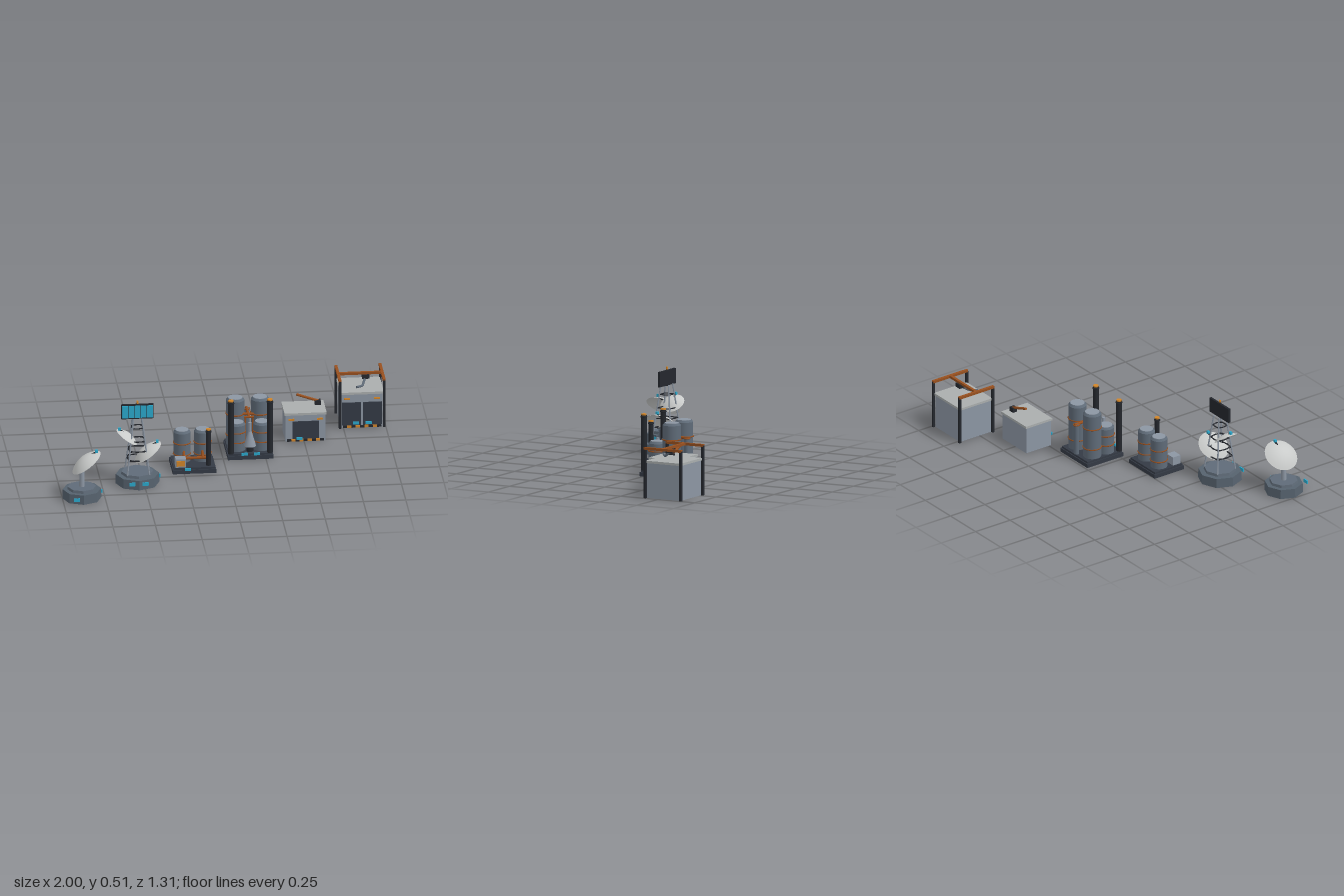
import * as THREE from 'three';

const mat = (name, color, extra = {}) => {
  const m = new THREE.MeshStandardMaterial({ color, ...extra });
  m.name = name;
  return m;
};
const C = {
  slate: mat('slate', 0x56626e),
  tank: mat('tankSteel', 0x5f6b78),
  steel: mat('wallSteel', 0x8c96a3),
  roof: mat('roofGrey', 0xaaaeae),
  dish: mat('dishWhite', 0xc9cbca, { side: THREE.DoubleSide }),
  dark: mat('darkMetal', 0x24272d),
  navy: mat('plinthNavy', 0x343a45),
  rust: mat('rustOrange', 0x98501f),
  amber: mat('amber', 0xd0852a),
  cyan: mat('cyanLight', 0x2ba8cc),
};

const add = (g, name, geo, m, x = 0, y = 0, z = 0) => {
  const mesh = new THREE.Mesh(geo, m);
  mesh.name = name;
  mesh.position.set(x, y, z);
  g.add(mesh);
  return mesh;
};
// Box given by its centre in x and z and its bottom in y
const box = (g, name, m, x, y, z, w, h, d) =>
  add(g, name, new THREE.BoxGeometry(w, h, d), m, x, y + h / 2, z);
// Upright cylinder standing on y
const cyl = (g, name, m, x, y, z, r, h, rTop = r, n = 20) =>
  add(g, name, new THREE.CylinderGeometry(rTop, r, h, n), m, x, y + h / 2, z);
// Round bar between two points
const bar = (g, name, m, a, b, r, n = 8) => {
  const p = new THREE.Vector3(...a), q = new THREE.Vector3(...b);
  const d = q.clone().sub(p);
  const mesh = add(g, name, new THREE.CylinderGeometry(r, r, d.length(), n), m);
  mesh.position.copy(p).add(q).multiplyScalar(0.5);
  mesh.quaternion.setFromUnitVectors(new THREE.Vector3(0, 1, 0), d.normalize());
  return mesh;
};
const ring = (g, name, m, x, y, z, r, t) => {
  const mesh = add(g, name, new THREE.TorusGeometry(r, t, 6, 24), m, x, y, z);
  mesh.rotation.x = Math.PI / 2;
  return mesh;
};
const group = (parent, name, x = 0, z = 0) => {
  const g = new THREE.Group();
  g.name = name;
  g.position.set(x, 0, z);
  parent.add(g);
  return g;
};

// Two-tier octagonal plinth
function octagonBase(g, r) {
  const tier = (name, m, y, r0, r1, h) => {
    const geo = new THREE.CylinderGeometry(r1, r0, h, 8).toNonIndexed();
    geo.computeVertexNormals();
    add(g, name, geo, m, 0, y + h / 2, 0);
  };
  tier('plinth', C.slate, 0, r, r * 0.98, 0.057);
  tier('plinthStep', C.tank, 0.057, r * 0.74, r * 0.72, 0.016);
  box(g, 'sideLight', C.cyan, r + 0.003, 0.028, 0, 0.008, 0.02, 0.012);
}

// Shallow tilted bowl with a feed arm; s = 1 leans to +x, -1 mirrors it
function dish(g, x, y, R, s) {
  const d = group(g, 'dish', x);
  d.position.y = y;
  const pts = [];
  for (let i = 0; i <= 8; i++) {
    const t = i / 8;
    pts.push(new THREE.Vector2(Math.max(R * t, 1e-4), 0.38 * R * (1 - t * t)));
  }
  add(d, 'bowl', new THREE.LatheGeometry(pts, 32), C.dish).rotation.z = s * 0.63;
  bar(d, 'feedArm', C.dark, [s * 0.1 * R, 0.38 * R, 0], [s * 0.55 * R, 0.63 * R, 0], 0.005);
  box(d, 'feedTip', C.cyan, s * 0.58 * R, 0.61 * R, 0, 0.016, 0.016, 0.014);
}

function smallDishStation(root) {
  const g = group(root, 'dishStation', -0.885, 0.522);
  octagonBase(g, 0.115);
  cyl(g, 'mast', C.steel, 0, 0.073, 0, 0.016, 0.14, 0.013, 12);
  dish(g, 0.027, 0.22, 0.102, 1);
  box(g, 'frontLight', C.cyan, -0.042, 0.028, 0.13, 0.036, 0.02, 0.007);
}

function relayTower(root) {
  const g = group(root, 'relayTower', -0.537, 0.313);
  octagonBase(g, 0.13);
  for (const sx of [-1, 1]) for (const sz of [-1, 1])
    bar(g, 'towerLeg', C.steel, [sx * 0.065, 0.07, sz * 0.065], [sx * 0.025, 0.41, sz * 0.025], 0.005, 6);
  // Square braces and rings up the mast
  [0.155, 0.21, 0.27, 0.35].forEach((y) => {
    const h = 0.065 - 0.04 * (y - 0.07) / 0.34;
    for (const s of [-1, 1]) {
      bar(g, 'brace', C.dark, [-h, y, s * h], [h, y, s * h], 0.003, 6);
      bar(g, 'brace', C.dark, [s * h, y, -h], [s * h, y, h], 0.003, 6);
    }
    ring(g, 'braceRing', C.dark, 0, y, 0, h * 1.1, 0.003);
  });
  dish(g, -0.063, 0.287, 0.074, -1);
  dish(g, 0.062, 0.188, 0.095, 1);
  // Display panel, lit on the front only
  box(g, 'panelFrame', C.dark, 0, 0.403, 0, 0.19, 0.09, 0.014);
  for (let i = -2; i <= 2; i++)
    box(g, 'panelCell', C.cyan, i * 0.0365, 0.41, 0.008, 0.034, 0.076, 0.005);
  cyl(g, 'finial', C.dark, 0, 0.4, 0, 0.006, 0.1, 0.006, 8);
  cyl(g, 'finialTip', C.amber, 0, 0.495, 0, 0.006, 0.018, 0.006, 8);
  for (const x of [-0.042, 0.036])
    box(g, 'frontLight', C.cyan, x, 0.028, 0.128, 0.036, 0.02, 0.007);
}

// Storage tank with shoulder, lid and bands
function tank(g, x, z, r, top, bands) {
  cyl(g, 'tankBody', C.tank, x, 0.035, z, r, top - 0.047);
  cyl(g, 'tankShoulder', C.tank, x, top - 0.012, z, r, 0.012, r * 0.82);
  cyl(g, 'tankLid', C.steel, x, top - 0.001, z, r * 0.78, 0.003);
  for (const y of bands) ring(g, 'tankBand', C.rust, x, y, z, r, 0.004);
}

function chimney(g, x, z, r, top) {
  cyl(g, 'chimney', C.dark, x, 0.035, z, r, top - 0.043, r, 12);
  cyl(g, 'chimneyTip', C.amber, x, top - 0.01, z, r * 0.95, 0.01, r * 0.95, 12);
  ring(g, 'chimneyBand', C.dark, x, top - 0.018, z, r, 0.004);
}

function smallRefinery(root) {
  const g = group(root, 'smallRefinery', -0.19, 0.106);
  box(g, 'plinth', C.navy, 0, 0, 0, 0.256, 0.024, 0.212);
  box(g, 'plinthTop', C.navy, 0, 0.024, 0, 0.244, 0.012, 0.2);
  for (const s of [-1, 1]) tank(g, s * 0.061, -0.027, 0.05, 0.228, [0.08, 0.15]);
  chimney(g, 0.086, 0.068, 0.015, 0.265);
  // Pump house and feed pipes
  box(g, 'pumpHouse', C.steel, -0.079, 0.036, 0.067, 0.062, 0.052, 0.055);
  box(g, 'pumpPanel', C.amber, -0.079, 0.044, 0.096, 0.05, 0.034, 0.005);
  bar(g, 'pipe', C.rust, [-0.05, 0.072, 0.037], [0.08, 0.072, 0.037], 0.009);
  for (const s of [-1, 1])
    bar(g, 'pipeBranch', C.rust, [s * 0.055, 0.072, 0.04], [s * 0.055, 0.11, 0.015], 0.008);
  box(g, 'frontLight', C.cyan, -0.04, 0.028, 0.126, 0.036, 0.016, 0.007);
}

function largeRefinery(root) {
  const g = group(root, 'largeRefinery', 0.16, -0.107);
  box(g, 'plinth', C.navy, 0, 0, 0, 0.268, 0.024, 0.262);
  box(g, 'plinthTop', C.navy, 0, 0.024, 0, 0.256, 0.012, 0.25);
  for (const s of [-1, 1]) {
    tank(g, s * 0.073, -0.051, 0.054, 0.322, [0.095, 0.225]);
    tank(g, s * 0.073, 0.047, 0.05, 0.207, [0.09, 0.15]);
    chimney(g, s * 0.115, 0.113, 0.017, 0.37);
    bar(g, 'riser', C.rust, [s * 0.022, 0.036, 0.03], [s * 0.022, 0.228, 0.03], 0.005);
    box(g, 'frontLight', C.cyan, s * 0.036, 0.028, 0.135, 0.036, 0.016, 0.007);
  }
  // Crossing pipes between the tanks
  bar(g, 'crossPipe', C.rust, [0, 0.228, -0.125], [0, 0.228, 0.03], 0.008);
  bar(g, 'crossPipe', C.rust, [-0.07, 0.228, -0.02], [0.07, 0.228, -0.02], 0.008);
  bar(g, 'crossPipe', C.rust, [-0.03, 0.228, 0.03], [0.03, 0.228, 0.03], 0.007);
  bar(g, 'rearPipe', C.tank, [0, 0.036, -0.112], [0, 0.228, -0.112], 0.016, 12);
  ring(g, 'rearPipeBand', C.rust, 0, 0.225, -0.112, 0.017, 0.004);
  // Hopper cone
  cyl(g, 'hopperCone', C.steel, 0, 0.07, 0.085, 0.036, 0.09, 0.01, 16);
  cyl(g, 'hopperNeck', C.steel, 0, 0.16, 0.085, 0.01, 0.055, 0.01, 12);
  cyl(g, 'hopperFoot', C.dark, 0, 0.036, 0.085, 0.02, 0.034, 0.02, 12);
}

// Shed with roof slab, dark doors, warning stripes and amber lamps
function shed(g, w, h, d, doors, doorTop) {
  box(g, 'walls', C.steel, 0, 0, 0, w - 0.012, h - 0.014, d - 0.012);
  box(g, 'roof', C.roof, 0, h - 0.014, 0, w, 0.014, d);
  const f = d / 2 - 0.006;
  for (const [x, dw] of doors)
    box(g, 'door', C.navy, x, 0.016, f + 0.002, dw, doorTop - 0.016, 0.008);
  const n = 9, sw = (w - 0.03) / n;
  for (let i = 0; i < n; i++)
    box(g, 'warningStripe', i % 2 ? C.amber : C.dark, (i - 4) * sw, 0.001, f + 0.004, sw, 0.013, 0.009);
  for (const s of [-1, 1])
    box(g, 'lamp', C.amber, s * (w / 2 - 0.04), h - 0.046, f + 0.003, 0.034, 0.01, 0.008);
}

function smallWorkshop(root) {
  const g = group(root, 'smallWorkshop', 0.509, -0.325);
  shed(g, 0.248, 0.178, 0.19, [[0, 0.156]], 0.125);
  // Roof crane
  box(g, 'craneMount', C.dark, 0.084, 0.178, -0.035, 0.034, 0.028, 0.03);
  bar(g, 'craneArm', C.rust, [0.088, 0.2, -0.035], [-0.04, 0.245, -0.035], 0.008);
  box(g, 'frontLight', C.cyan, -0.04, 0.028, 0.14, 0.036, 0.016, 0.007);
}

function largeWorkshop(root) {
  const g = group(root, 'largeWorkshop', 0.86, -0.53);
  shed(g, 0.256, 0.222, 0.236, [[-0.061, 0.112], [0.061, 0.112]], 0.158);
  // Gantry frame
  for (const sx of [-1, 1]) {
    for (const sz of [-1, 1]) box(g, 'gantryPost', C.dark, sx * 0.13, 0, sz * 0.12, 0.014, 0.295, 0.014);
    box(g, 'sideBeam', C.rust, sx * 0.13, 0.288, 0, 0.016, 0.015, 0.252);
  }
  box(g, 'crossBeam', C.rust, 0, 0.289, 0, 0.26, 0.015, 0.016);
  // Hanging arm
  box(g, 'trolley', C.dark, 0.032, 0.265, 0, 0.042, 0.025, 0.034);
  const joints = [[0.032, 0.272, 0], [0.008, 0.238, 0.055], [-0.028, 0.242, 0.085]];
  for (let i = 0; i < 2; i++) bar(g, 'hangingArm', C.tank, joints[i], joints[i + 1], 0.007);
  for (const x of [-0.038, 0.037])
    box(g, 'frontLight', C.cyan, x, 0.028, 0.135, 0.036, 0.016, 0.007);
}

export function createModel() {
  const root = new THREE.Group();
  root.name = 'outpostBuildings';
  smallDishStation(root);
  relayTower(root);
  smallRefinery(root);
  largeRefinery(root);
  smallWorkshop(root);
  largeWorkshop(root);
  return root;
}
